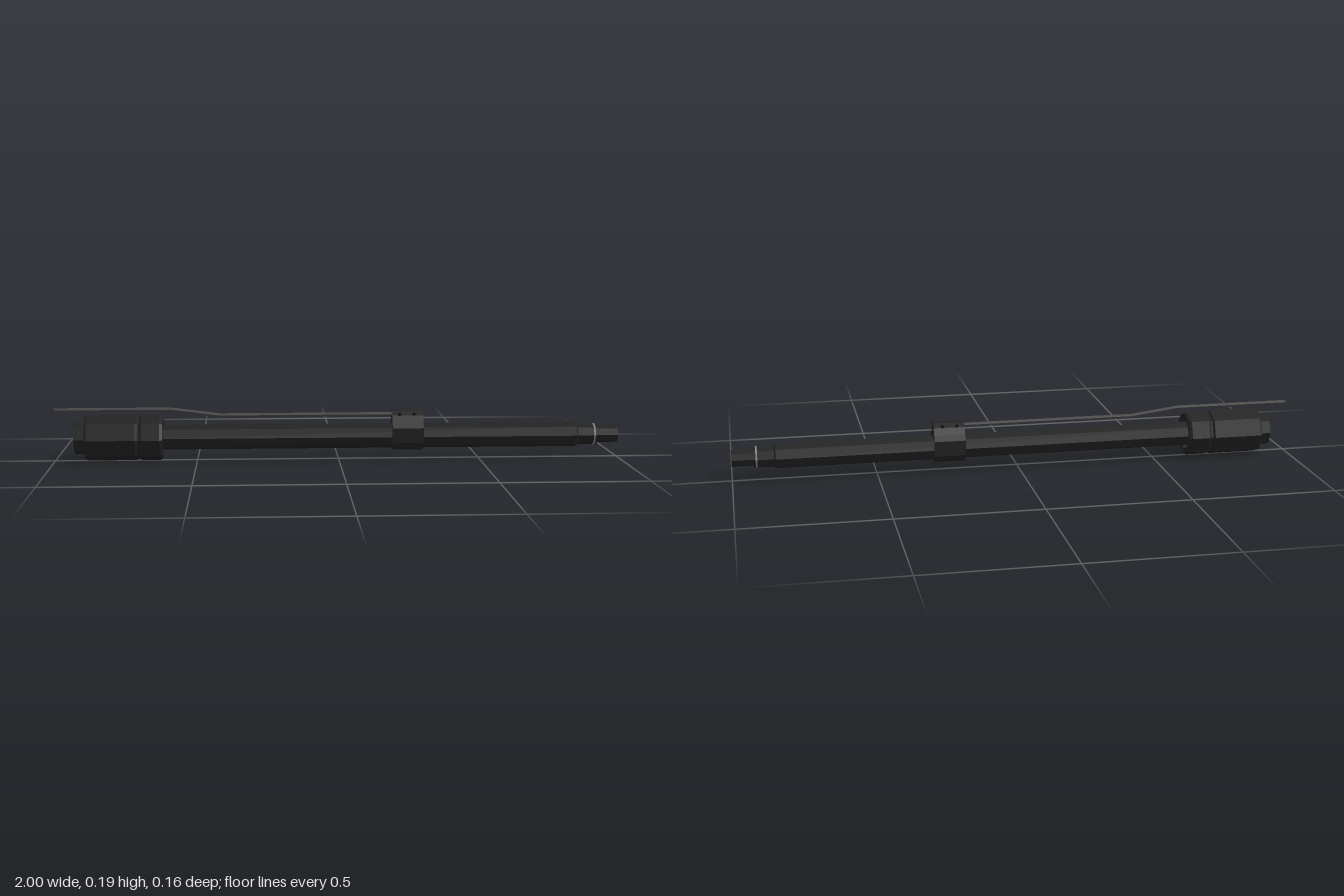
import * as THREE from 'three';

const AXIS = 0.083; // height of the tube's centre line

function material(name, color) {
  const m = new THREE.MeshStandardMaterial({ color, flatShading: true });
  m.name = name;
  return m;
}

export function createModel() {
  const group = new THREE.Group();
  const black = material('blackMetal', 0x222222);
  const dark = material('darkRecess', 0x111111);
  const grey = material('greyMetal', 0x484848);
  const silver = material('paleRing', 0x8a8a8a);

  const add = (name, geometry, mat) => {
    const mesh = new THREE.Mesh(geometry, mat);
    mesh.name = name;
    group.add(mesh);
    return mesh;
  };

  // Octagonal turned part along x; profile is a list of [x, radius]
  const turned = (name, profile, mat) => {
    const points = profile.map(([x, r]) => new THREE.Vector2(r, x));
    const geometry = new THREE.LatheGeometry(points, 8);
    geometry.rotateZ(-Math.PI / 2).translate(0, AXIS, 0);
    return add(name, geometry, mat);
  };

  // Long tube and its stepped tip
  turned('tube', [[-0.7, 0], [-0.7, 0.044], [0.85, 0.044], [0.855, 0.038],
    [0.925, 0.038], [0.925, 0]], black);
  turned('tipRing', [[0.912, 0.038], [0.912, 0.0395], [0.918, 0.0395], [0.918, 0.038]], silver);
  turned('tip', [[0.92, 0], [0.92, 0.03], [1, 0.03], [1, 0.021], [0.985, 0.019], [0.985, 0]], black);

  // Wide end piece with a neck, groove and hollow ends
  turned('endPiece', [[-0.88, 0.036], [-0.93, 0.04], [-0.93, 0.057], [-0.893, 0.057],
    [-0.893, 0.077], [-0.885, 0.081], [-0.715, 0.081], [-0.708, 0.075],
    [-0.702, 0.075], [-0.695, 0.081], [-0.63, 0.081], [-0.62, 0.076],
    [-0.62, 0.058], [-0.66, 0.056], [-0.66, 0.04]], black);
  turned('endBore', [[-0.88, 0], [-0.88, 0.037]].reverse(), dark);

  // Clamp around the tube, with a lug that holds the rod
  const outline = [[-0.013, 0.173], [-0.018, 0.157], [-0.036, 0.135], [-0.048, 0.115],
    [-0.048, 0.062], [-0.026, 0.036], [0.026, 0.036], [0.048, 0.062], [0.048, 0.115],
    [0.036, 0.135], [0.018, 0.157], [0.013, 0.173]].map(([z, y]) => new THREE.Vector2(z, y));
  const clamp = new THREE.ExtrudeGeometry(new THREE.Shape(outline), { depth: 0.11, bevelEnabled: false });
  clamp.rotateY(Math.PI / 2).translate(0.19, 0, 0);
  add('clamp', clamp, black);

  // Small screws on both sides of the lug
  for (const side of [-1, 1]) {
    for (const x of [0.217, 0.268]) {
      const screw = new THREE.CylinderGeometry(0.006, 0.006, 0.006, 8);
      screw.rotateX(Math.PI / 2).translate(x, 0.161, side * 0.016);
      add('clampScrew', screw, dark);
    }
  }

  // Thin bent rod above the tube
  const path = new THREE.CurvePath();
  const bends = [[-1, 0.182], [-0.59, 0.182], [-0.42, 0.16], [0.2, 0.16]]
    .map(([x, y]) => new THREE.Vector3(x, y, 0));
  for (let i = 0; i < 3; i++) {
    path.add(new THREE.LineCurve3(bends[i], bends[i + 1]));
    const length = bends[i].distanceTo(bends[i + 1]);
    const rod = new THREE.CylinderGeometry(0.007, 0.007, length + 0.001, 8);
    const mesh = add('rod', rod, grey);
    mesh.position.lerpVectors(bends[i], bends[i + 1], 0.5);
    mesh.quaternion.setFromUnitVectors(new THREE.Vector3(0, 1, 0),
      bends[i + 1].clone().sub(bends[i]).normalize());
  }
  return group;
}
